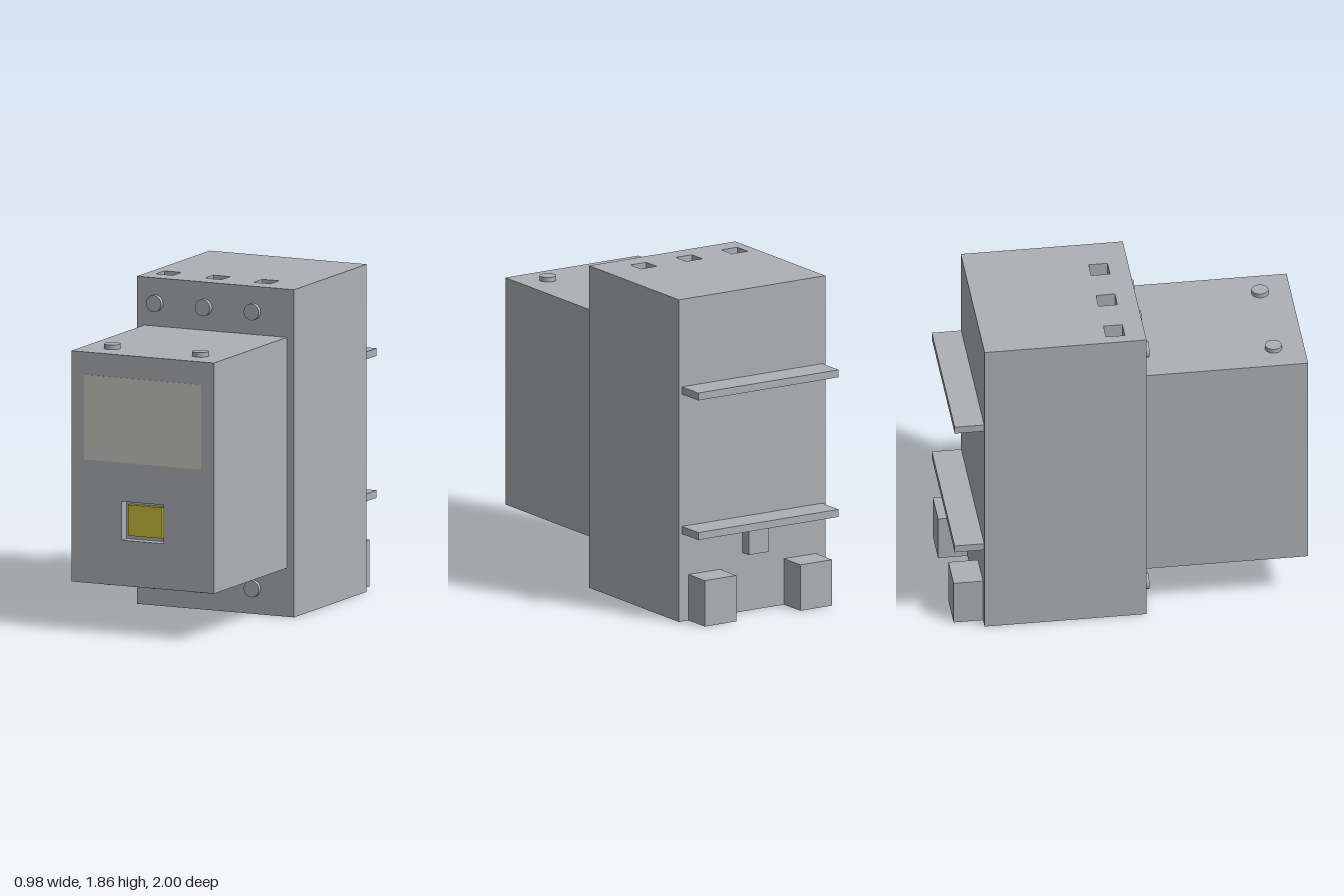
import * as THREE from 'three';
import { mergeGeometries } from 'three/addons/utils/BufferGeometryUtils.js';

const mat = (name, color) => {
  const m = new THREE.MeshStandardMaterial({ color });
  m.name = name;
  return m;
};

// Blind square pit, open at +z, seen from inside
function pitGeometry({ u, v, w, h, depth }) {
  const g = new THREE.BoxGeometry(w, h, depth);
  const kept = Array.from(g.index.array).filter((_, i) => i < 24 || i >= 30);
  for (let i = 0; i < kept.length; i += 3) [kept[i], kept[i + 1]] = [kept[i + 1], kept[i]];
  g.setIndex(kept);
  g.clearGroups();
  const n = g.attributes.normal;
  for (let i = 0; i < n.count; i++) n.setXYZ(i, -n.getX(i), -n.getY(i), -n.getZ(i));
  return g.translate(u, v, -depth / 2);
}

// Flat face with pits cut into it, facing +z
function faceGeometry(w, h, pits = []) {
  const rect = (Kind, u, v, a, b) => new Kind([
    new THREE.Vector2(u - a / 2, v - b / 2), new THREE.Vector2(u + a / 2, v - b / 2),
    new THREE.Vector2(u + a / 2, v + b / 2), new THREE.Vector2(u - a / 2, v + b / 2),
  ]);
  const shape = rect(THREE.Shape, 0, 0, w, h);
  for (const p of pits) shape.holes.push(rect(THREE.Path, p.u, p.v, p.w, p.h));
  const face = new THREE.ShapeGeometry(shape);
  face.clearGroups();
  return mergeGeometries([face, ...pits.map(pitGeometry)]);
}

// Box from six faces; pits may be cut into top, bottom and front
function pittedBox(w, h, d, { top, bottom, front }) {
  const q = Math.PI / 2;
  return mergeGeometries([
    faceGeometry(w, h, front).translate(0, 0, d / 2),
    faceGeometry(w, h).rotateY(Math.PI).translate(0, 0, -d / 2),
    faceGeometry(d, h).rotateY(q).translate(w / 2, 0, 0),
    faceGeometry(d, h).rotateY(-q).translate(-w / 2, 0, 0),
    faceGeometry(w, d, top).rotateX(-q).translate(0, h / 2, 0),
    faceGeometry(w, d, bottom).rotateX(q).translate(0, -h / 2, 0),
  ]);
}

export function createModel() {
  const group = new THREE.Group();
  const grey = mat('housing grey', 0xadb0b5);
  const pale = mat('label pale grey', 0xc9c8c4);
  const yellow = mat('button yellow', 0xc9bb39);

  const add = (name, geometry, material, x, y, z) => {
    const mesh = new THREE.Mesh(geometry, material);
    mesh.name = name;
    mesh.position.set(x, y, z);
    group.add(mesh);
    return mesh;
  };
  // Box given by its extents
  const box = (name, material, x0, x1, y0, y1, z0, z1) =>
    add(name, new THREE.BoxGeometry(x1 - x0, y1 - y0, z1 - z0), material,
      (x0 + x1) / 2, (y0 + y1) / 2, (z0 + z1) / 2);

  // Main housing with wire entries above and below
  const columns = [-0.375, -0.07, 0.235];
  const zMid = -0.377;
  const entries = (side) => columns.map((x) => (
    { u: x, v: side * (-0.087 - zMid), w: 0.106, h: 0.106, depth: 0.1 }));
  add('mainHousing', pittedBox(0.98, 1.86, 0.914, { top: entries(-1), bottom: entries(1) }),
    grey, 0, 0.93, zMid);

  // Front housing with button recess
  const recess = { u: 0, v: 0.645 - 0.931, w: 0.262, h: 0.22, depth: 0.06 };
  add('frontHousing', pittedBox(0.89, 1.31, 0.918, { front: [recess] }), grey, 0, 0.931, 0.539);
  box('button', yellow, -0.107, 0.107, 0.558, 0.733, 0.938, 0.968);
  box('labelPlate', pale, -0.365, 0.365, 0.975, 1.457, 0.998, 1);

  // Screw heads
  const screw = new THREE.CylinderGeometry(0.047, 0.047, 0.026, 32);
  for (const x of columns) {
    for (const y of [0.145, 1.717]) {
      add('terminalScrew', screw, grey, x, y, 0.093).rotation.x = Math.PI / 2;
    }
  }
  for (const x of [-0.275, 0.275]) {
    add('upperScrew', screw, grey, x, 1.599, 0.825);
    add('lowerScrew', screw, grey, x, 0.263, 0.825);
  }

  // Mounting rails, latch and feet on the back
  for (const y of [0.506, 1.312]) box('mountingRail', grey, -0.47, 0.47, y, y + 0.043, -1, -0.834);
  box('latch', grey, -0.066, 0.066, 0.34, 0.506, -0.9, -0.834);
  const footPit = { u: 0, v: 0, w: 0.09, h: 0.09, depth: 0.1 };
  for (const x of [-0.32, 0.32]) {
    add('mountingFoot', pittedBox(0.212, 0.265, 0.166, { bottom: [footPit] }), grey, x, 0.1325, -0.917);
  }
  return group;
}
